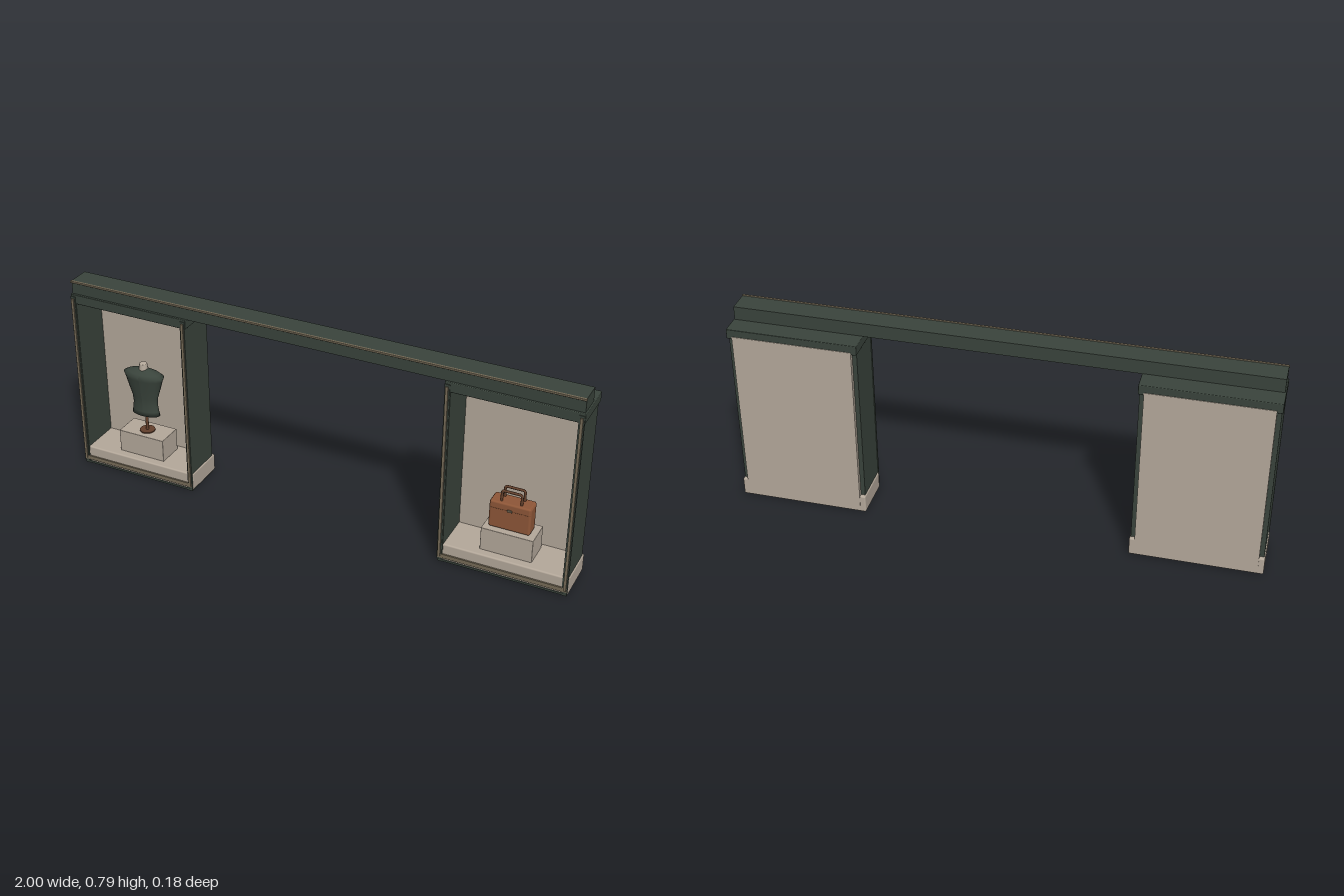
import * as THREE from 'three';
import { RoundedBoxGeometry } from 'three/addons/geometries/RoundedBoxGeometry.js';

const mat = (name, color) => {
  const m = new THREE.MeshStandardMaterial({ color });
  m.name = name;
  return m;
};

export function createModel() {
  const green = mat('dark green paint', 0x3a443c);
  const stone = mat('warm stone', 0xb5a99b);
  const brass = mat('aged brass', 0x766b57);
  const leather = mat('tan leather', 0x8f5738);
  const darkLeather = mat('dark leather', 0x63402c);
  const black = mat('lamp black', 0x1f2321);

  const root = new THREE.Group();
  root.name = 'shopfrontWindows';

  const add = (parent, name, geometry, material, x = 0, y = 0, z = 0) => {
    const m = new THREE.Mesh(geometry, material);
    m.name = name;
    m.position.set(x, y, z);
    parent.add(m);
    return m;
  };
  // box given by its limits on each axis, with optional rounded edges
  const box = (parent, name, material, [x0, x1], [y0, y1], [z0, z1], r = 0) => {
    const s = [x1 - x0, y1 - y0, z1 - z0];
    const g = r ? new RoundedBoxGeometry(...s, 2, r) : new THREE.BoxGeometry(...s);
    return add(parent, name, g, material, (x0 + x1) / 2, (y0 + y1) / 2, (z0 + z1) / 2);
  };

  // One display bay, built around its own centre line
  function bay(name, x) {
    const g = new THREE.Group();
    g.name = name;
    g.position.x = x;
    root.add(g);
    box(g, 'base', stone, [-0.247, 0.247], [0.004, 0.075], [-0.088, 0.082], 0.006);
    box(g, 'backPanel', stone, [-0.226, 0.226], [0.03, 0.71], [-0.09, -0.074]);
    box(g, 'header', green, [-0.247, 0.247], [0.7, 0.738], [-0.088, 0.084], 0.003);
    box(g, 'sill', brass, [-0.243, 0.243], [0.018, 0.034], [0.08, 0.088]);
    box(g, 'kickStrip', green, [-0.243, 0.243], [0.002, 0.01], [0.078, 0.085]);
    for (const s of [-1, 1]) {
      const span = (a, b) => (s > 0 ? [a, b] : [-b, -a]);
      box(g, 'sidePanel', green, span(0.224, 0.243), [0, 0.702], [-0.074, 0.084]);
      box(g, 'frontPost', green, span(0.226, 0.245), [0.012, 0.73], [0.08, 0.087]);
      box(g, 'postTrim', brass, span(0.231, 0.241), [0.025, 0.722], [0.085, 0.092]);
      // ceiling spotlight
      add(g, 'spotlight', new THREE.CylinderGeometry(0.024, 0.024, 0.01, 20), black, s * 0.115, 0.697, 0.01);
    }
    box(g, 'pedestal', stone, [-0.0975, 0.0975], [0.074, 0.166], [-0.055, 0.05], 0.002);
    return g;
  }

  const left = bay('mannequinBay', -0.7525);
  const right = bay('handbagBay', 0.7525);

  // Fascia beam joining both bays
  box(root, 'fascia', green, [-0.995, 0.995], [0.737, 0.79], [-0.012, 0.075]);
  box(root, 'fasciaTrim', brass, [-0.997, 0.997], [0.784, 0.792], [0.073, 0.083], 0.002);

  // Mannequin torso: turned profile flattened front to back
  const form = new THREE.Group();
  form.name = 'mannequin';
  left.add(form);
  const profile = [
    [0, 0.243], [0.06, 0.243], [0.056, 0.262], [0.052, 0.29], [0.055, 0.32],
    [0.068, 0.36], [0.08, 0.4], [0.087, 0.416], [0.07, 0.426], [0.035, 0.438], [0.015, 0.442], [0, 0.442],
  ].map(([r, y]) => new THREE.Vector2(r, y));
  const torso = new THREE.LatheGeometry(profile, 20);
  torso.scale(1, 1, 0.48);
  torso.computeVertexNormals();
  add(form, 'torso', torso, green);
  add(form, 'neck', new THREE.CylinderGeometry(0.015, 0.018, 0.026, 16), stone, 0, 0.448, 0);
  add(form, 'neckCap', new THREE.SphereGeometry(0.015, 16, 6, 0, Math.PI * 2, 0, Math.PI / 2).scale(1, 0.35, 1), stone, 0, 0.461, 0);
  add(form, 'standRod', new THREE.CylinderGeometry(0.006, 0.006, 0.08, 12), darkLeather, 0, 0.205, 0);
  add(form, 'standFoot', new THREE.CylinderGeometry(0.03, 0.03, 0.005, 24), darkLeather, 0, 0.168, 0);

  // Handbag
  const bag = new THREE.Group();
  bag.name = 'handbag';
  bag.position.x = -0.002;
  right.add(bag);
  box(bag, 'bagBody', leather, [-0.078, 0.078], [0.167, 0.277], [-0.03, 0.03], 0.009);
  box(bag, 'bagFlap', leather, [-0.076, 0.076], [0.248, 0.279], [-0.032, 0.032], 0.007);
  box(bag, 'clasp', brass, [-0.009, 0.009], [0.249, 0.257], [0.031, 0.036]);
  const P = (x, y) => new THREE.Vector3(x, y, 0);
  const path = new THREE.CurvePath();
  path.add(new THREE.LineCurve3(P(-0.037, 0.272), P(-0.037, 0.311)));
  path.add(new THREE.QuadraticBezierCurve3(P(-0.037, 0.311), P(-0.037, 0.32), P(-0.028, 0.32)));
  path.add(new THREE.LineCurve3(P(-0.028, 0.32), P(0.028, 0.32)));
  path.add(new THREE.QuadraticBezierCurve3(P(0.028, 0.32), P(0.037, 0.32), P(0.037, 0.311)));
  path.add(new THREE.LineCurve3(P(0.037, 0.311), P(0.037, 0.272)));
  for (const z of [-0.016, 0.016]) {
    add(bag, 'handle', new THREE.TubeGeometry(path, 48, 0.005, 8), darkLeather, 0, 0, z);
  }

  return root;
}
